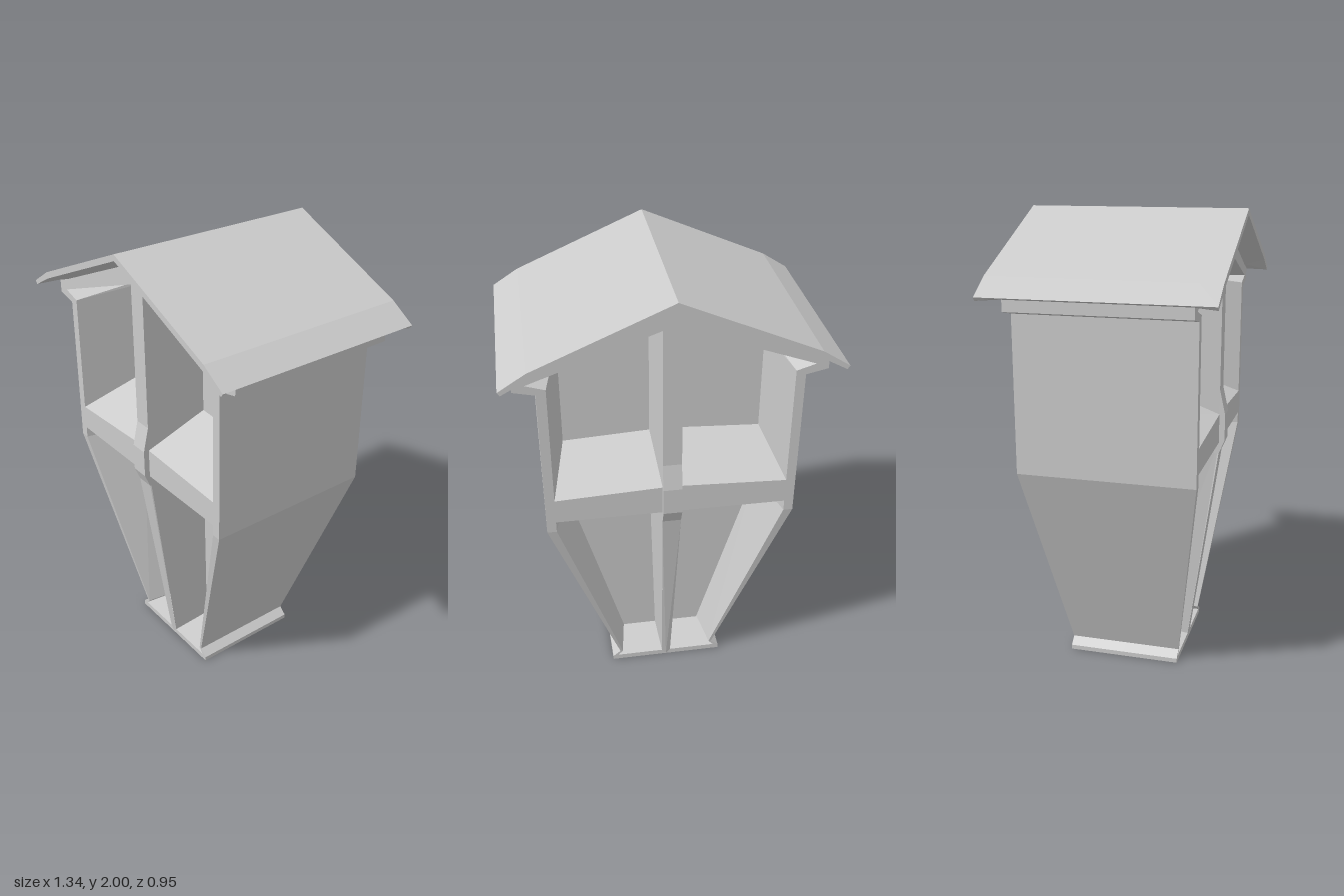
import * as THREE from 'three';

const material = new THREE.MeshStandardMaterial({ color: 0xcccccc, flatShading: true });

// Depth of the tilted front face at height y
const faceZ = y => 0.25 + 0.13 * THREE.MathUtils.clamp((y - 0.05) / 0.89, 0, 1);
const place = (pts, depth) => pts.map(([x, y]) => [x, y, depth(y)]);

// Quads joining two matching point lists
function strip(a, b, closed) {
  const tris = [];
  for (let i = 0; i < a.length - (closed ? 0 : 1); i++) {
    const j = (i + 1) % a.length;
    tris.push([a[i], a[j], b[j]], [a[i], b[j], b[i]]);
  }
  return tris;
}

// Fill an outline (with optional holes), each corner at its own depth
function fill(outline, holes, depth) {
  const v = list => list.map(([x, y]) => new THREE.Vector2(x, y));
  const all = place([outline, ...holes].flat(), depth);
  return THREE.ShapeUtils.triangulateShape(v(outline), holes.map(v)).map(t => t.map(i => all[i]));
}

// Mirror triangles, keeping them facing outward
function mirror(tris, sx, sz) {
  return tris.map(t => {
    const m = t.map(([x, y, z]) => [x * sx, y, z * sz]);
    return sx * sz < 0 ? m.reverse() : m;
  });
}

function mesh(name, tris) {
  const geometry = new THREE.BufferGeometry();
  geometry.setAttribute('position', new THREE.Float32BufferAttribute(tris.flat(2), 3));
  geometry.computeVertexNormals();
  const m = new THREE.Mesh(geometry, material);
  m.name = name;
  return m;
}

// Repeat a quarter of the tower on all four corners
function fourfold(name, tris) {
  const all = [];
  for (const sx of [1, -1]) for (const sz of [1, -1]) all.push(...mirror(tris, sx, sz));
  return mesh(name, all);
}

export function createModel() {
  const group = new THREE.Group();

  // Outer silhouette, right half
  const silhouette = [[0, 0], [0.26, 0], [0.26, 0.02], [0.225, 0.05], [0.53, 0.94],
    [0.53, 1.61], [0.62, 1.63], [0.62, 1.69], [0, 1.945]];
  group.add(fourfold('outerWalls',
    strip(place(silhouette, () => 0), place(silhouette, faceZ))));

  // Recess outlines at the face and at the sunken panel
  const upperOuter = [[0.04, 1.12], [0.49, 1.1], [0.49, 1.63], [0.57, 1.655], [0.04, 1.845]];
  const upperInner = [[0.055, 1.23], [0.43, 1.21], [0.43, 1.655], [0.432, 1.67], [0.055, 1.81]];
  const lowerOuter = [[0.02, 0.025], [0.235, 0.025], [0.213, 0.05], [0.49, 0.94], [0.49, 0.99], [0.04, 0.99]];
  const lowerInner = [[0.027, 0.045], [0.185, 0.045], [0.187, 0.05], [0.43, 0.935], [0.43, 0.94], [0.055, 0.94]];

  // Face frame: tilted lower part and upright upper part
  const lowerFrame = [[0, 0], [0.26, 0], [0.26, 0.02], [0.225, 0.05], [0.53, 0.94], [0.49, 0.94],
    [0.213, 0.05], [0.235, 0.025], [0.02, 0.025], [0.04, 0.94], [0, 0.94]];
  const upperFrame = [[0, 0.94], [0.04, 0.94], [0.04, 0.99], [0.49, 0.99], [0.49, 0.94],
    ...silhouette.slice(4)];
  group.add(fourfold('lowerFrame', fill(lowerFrame, [], faceZ)));
  group.add(fourfold('upperFrame', fill(upperFrame, [[...upperOuter].reverse()], faceZ)));

  // Sunken panels with sloping reveals
  const panelZ = y => faceZ(y) * 0.265;
  for (const [name, outer, inner] of [['upperRecess', upperOuter, upperInner], ['lowerRecess', lowerOuter, lowerInner]]) {
    group.add(fourfold(name, [
      ...strip(place(outer, faceZ), place(inner, panelZ), true),
      ...fill(inner, [], panelZ),
    ]));
  }

  // Raised block where the central post crosses the beam
  const block = [[0.36, 0.94], [0.38, 0.94], [0.405, 1.0], [0.405, 1.12], [0.38, 1.23], [0.36, 1.23]];
  for (const side of [1, -1]) {
    const shape = new THREE.Shape(block.map(([z, y]) => new THREE.Vector2(z, y)));
    const geometry = new THREE.ExtrudeGeometry(shape, { depth: 0.08, bevelEnabled: false });
    geometry.translate(0, 0, -0.04).rotateY(-side * Math.PI / 2);
    const post = new THREE.Mesh(geometry, material);
    post.name = side > 0 ? 'frontPostBlock' : 'backPostBlock';
    group.add(post);
  }

  // Gable roof: thin at the rims, thicker over the walls
  const both = half => [...half, ...half.slice(0, -1).reverse().map(([x, y]) => [-x, y])];
  const top = both([[0.67, 1.69], [0.56, 1.76], [0, 2]]);
  const under = pts => both(pts).reverse();
  const rim = [...top, ...under([[0.66, 1.675], [0.55, 1.735], [0, 1.973]])];
  const core = [...top, ...under([[0.635, 1.68], [0.55, 1.71], [0, 1.945]])];
  const at = (ring, z) => place(ring, () => z);
  const cap = fill(rim, [], () => 0.475);
  const flare = strip(at(core, 0.38), at(rim, 0.475), true);
  group.add(mesh('roof', [
    ...cap, ...mirror(cap, 1, -1),
    ...flare, ...mirror(flare, 1, -1),
    ...strip(at(core, -0.38), at(core, 0.38), true),
  ]));

  return group;
}
